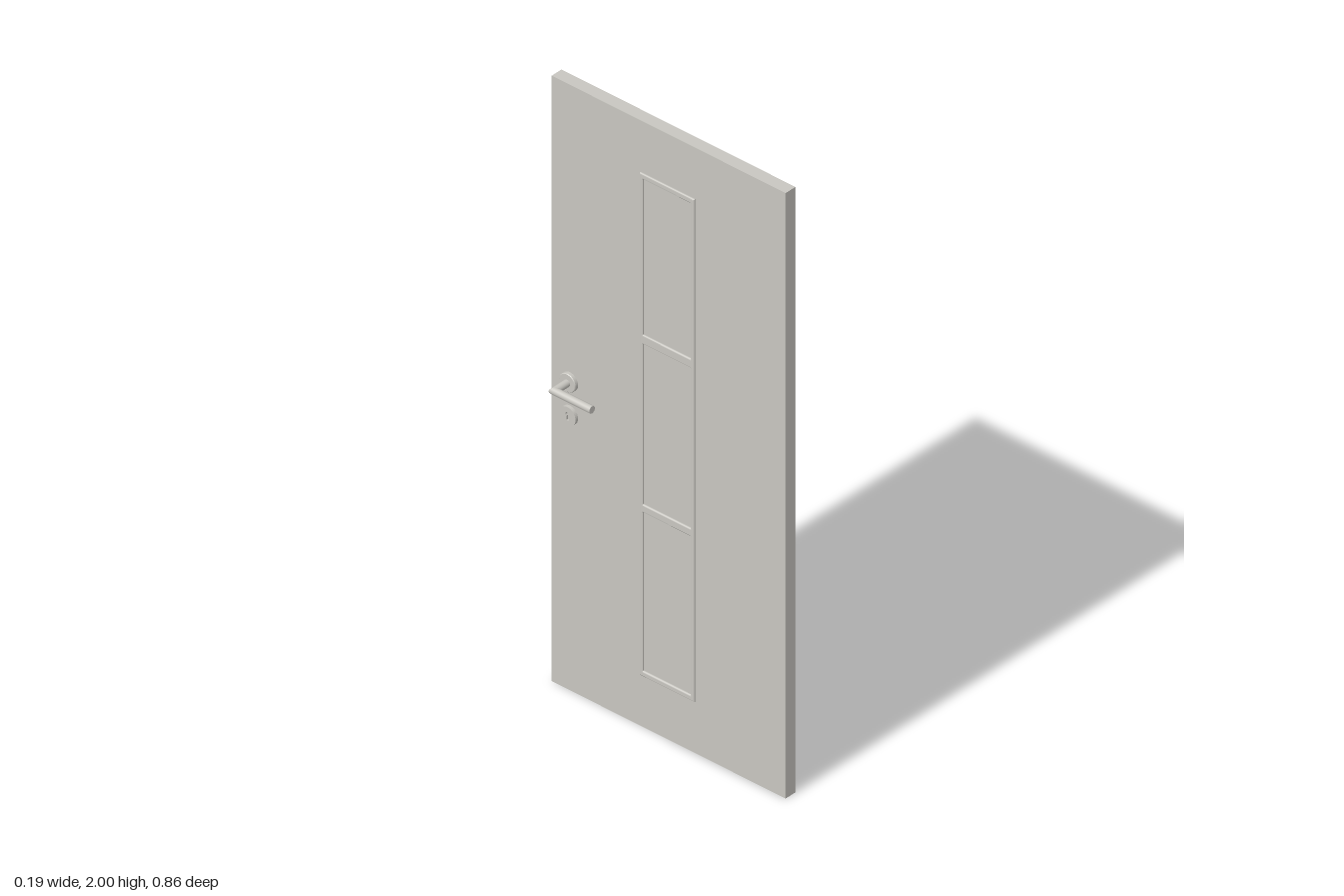
import * as THREE from 'three';

const grey = new THREE.MeshStandardMaterial({ color: 0xc8c6c0 });
grey.name = 'warm grey';

function part(name, geometry, parent, x = 0, y = 0, z = 0) {
  const m = new THREE.Mesh(geometry, grey);
  m.name = name;
  m.position.set(x, y, z);
  parent.add(m);
  return m;
}

// Rectangle outline with optionally rounded corners
function rect(target, w, y0, y1, r) {
  target.moveTo(-w + r, y0);
  target.lineTo(w - r, y0);
  target.quadraticCurveTo(w, y0, w, y0 + r);
  target.lineTo(w, y1 - r);
  target.quadraticCurveTo(w, y1, w - r, y1);
  target.lineTo(-w + r, y1);
  target.quadraticCurveTo(-w, y1, -w, y1 - r);
  target.lineTo(-w, y0 + r);
  target.quadraticCurveTo(-w, y0, -w + r, y0);
  return target;
}

// Round bar along +y whose lower end is cut at 45 degrees for a mitred corner
function mitredBar(r, length) {
  const g = new THREE.CylinderGeometry(r, r, length, 24);
  g.translate(0, length / 2, 0);
  const p = g.attributes.position;
  for (let i = 0; i < p.count; i++) {
    if (p.getY(i) < length / 2) p.setY(i, p.getX(i));
  }
  return g;
}

// Chamfered disc facing +x, from a turned profile
function rosette(r, x0, x1) {
  const c = 0.002;
  const pts = [[0, x0], [r, x0], [r, x0], [r, x1 - c], [r, x1 - c], [r - c, x1], [r - c, x1], [0, x1]];
  const g = new THREE.LatheGeometry(pts.map(([a, b]) => new THREE.Vector2(a, b)), 32);
  return g.rotateZ(-Math.PI / 2);
}

// Disc with a keyhole, facing +x
function escutcheon(r, x0, x1) {
  const s = new THREE.Shape().absarc(0, 0, r, 0, Math.PI * 2);
  const hole = new THREE.Path();
  hole.absarc(0, 0.006, 0.007, -Math.PI / 3, Math.PI * 4 / 3);
  hole.lineTo(-0.0035, -0.014);
  hole.lineTo(0.0035, -0.014);
  hole.closePath();
  s.holes.push(hole);
  const g = new THREE.ExtrudeGeometry(s, { depth: x1 - x0, bevelEnabled: false, curveSegments: 20 });
  return g.translate(0, 0, x0).rotateY(Math.PI / 2);
}

// Lever, rosette and keyhole cover, built facing +x
function handleSet(name) {
  const g = new THREE.Group();
  g.name = name;
  const r = 0.0115, reach = 0.082;
  // Stem runs from the corner back into the door, grip runs forward
  const stem = part('leverStem', mitredBar(r, reach - 0.01), g, reach, 0.11, 0);
  stem.matrixAutoUpdate = true;
  stem.quaternion.setFromRotationMatrix(new THREE.Matrix4().makeBasis(
    new THREE.Vector3(0, 0, 1), new THREE.Vector3(-1, 0, 0), new THREE.Vector3(0, -1, 0)));
  const grip = part('leverGrip', mitredBar(r, 0.137), g, reach, 0.11, 0);
  grip.quaternion.setFromRotationMatrix(new THREE.Matrix4().makeBasis(
    new THREE.Vector3(-1, 0, 0), new THREE.Vector3(0, 0, 1), new THREE.Vector3(0, 1, 0)));
  part('leverRosette', rosette(0.03, 0.019, 0.031), g, 0, 0.11, 0);
  part('keyholeCover', escutcheon(0.03, 0.019, 0.0295), g);
  part('keyholeBack', rosette(0.02, 0.016, 0.022), g);
  return g;
}

export function createModel() {
  const door = new THREE.Group();
  door.name = 'door';

  // Door leaf
  part('doorLeaf', new THREE.BoxGeometry(0.04, 2, 0.853), door, 0.008, 1, 0.003);

  // Raised moulding around three stacked panels, showing on both faces
  const frame = rect(new THREE.Shape(), 0.096, 0.174, 1.826, 0);
  for (const [y0, y1] of [[0.184, 0.716], [0.734, 1.272], [1.294, 1.816]]) {
    frame.holes.push(rect(new THREE.Path(), 0.091, y0, y1, 0.006));
  }
  const moulding = new THREE.ExtrudeGeometry(frame, {
    depth: 0.042, bevelThickness: 0.004, bevelSize: 0.004, bevelSegments: 3, curveSegments: 4,
  });
  moulding.translate(0, 0, -0.021).rotateY(Math.PI / 2);
  part('panelMoulding', moulding, door, 0.008, 0, 0);

  // A handle set on each face
  const leftSet = handleSet('leftHandleSet');
  leftSet.position.set(-0.001, 0.918, -0.35);
  door.add(leftSet);
  const rightSet = handleSet('rightHandleSet');
  rightSet.position.set(-0.001, 0.918, -0.35);
  rightSet.scale.x = -1;
  door.add(rightSet);

  // Sloped latch on the closing edge
  const wedge = new THREE.Shape();
  wedge.moveTo(-0.009, -0.005);
  wedge.lineTo(0.013, -0.005);
  wedge.lineTo(0.013, 0.003);
  wedge.lineTo(0, 0.0075);
  wedge.closePath();
  const latch = new THREE.ExtrudeGeometry(wedge, { depth: 0.026, bevelEnabled: false });
  latch.rotateX(-Math.PI / 2);
  part('latch', latch, door, 0.008, 1.014, -0.4235);

  return door;
}
